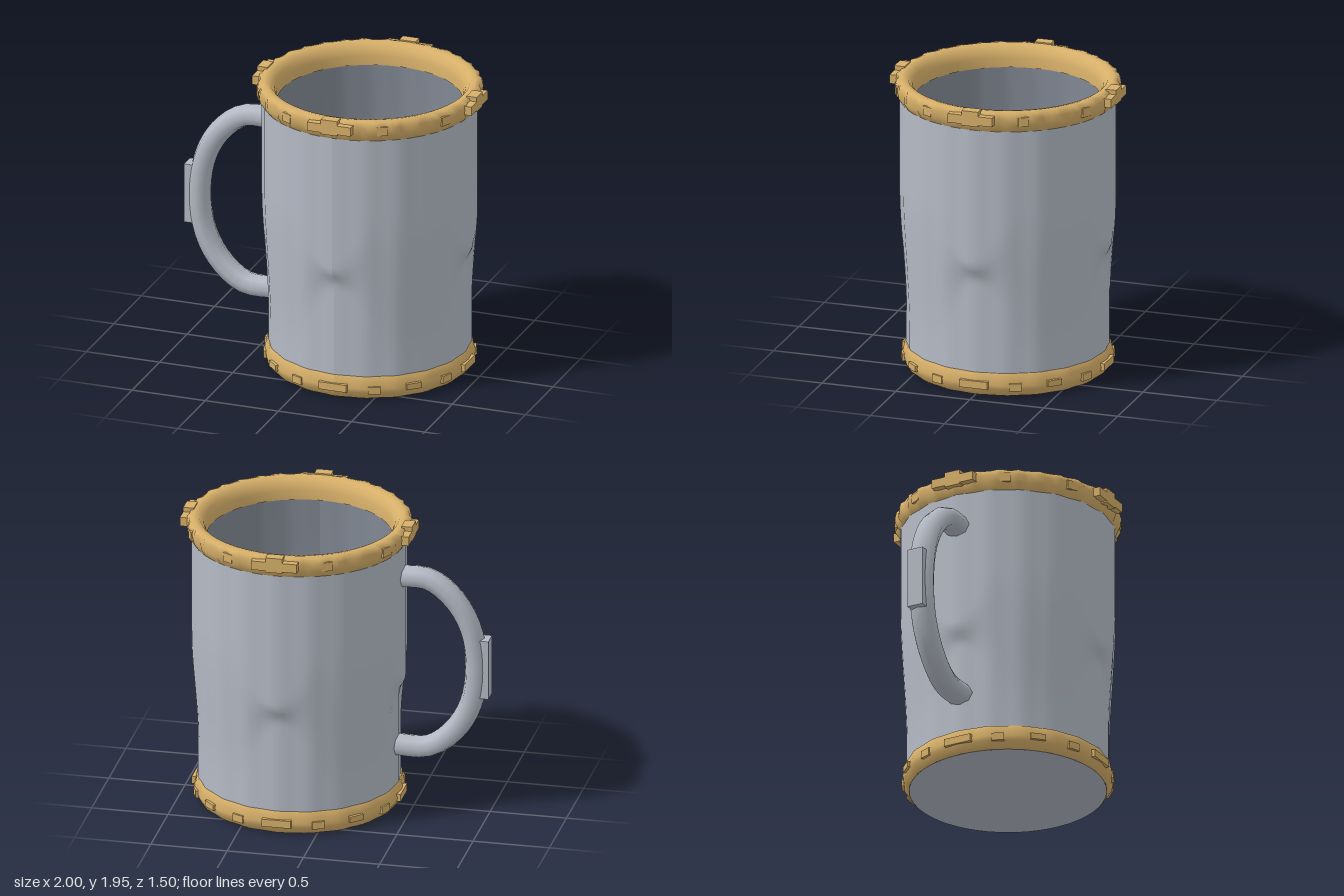
import * as THREE from 'three';

const CX = 0.25; // axis of the cup
const material = (name, color) => {
  const m = new THREE.MeshStandardMaterial({ color });
  m.name = name;
  return m;
};

// Lathe whose radius is changed by rule(angle, radius, y); angle 0 faces the front
function turned(points, segments, rule) {
  const g = new THREE.LatheGeometry(points.map(([r, y]) => new THREE.Vector2(r, y)), segments);
  const p = g.attributes.position;
  for (let i = 0; i < p.count; i++) {
    const x = p.getX(i), z = p.getZ(i), r = Math.hypot(x, z);
    const k = rule(Math.atan2(x, z), r, p.getY(i)) / r;
    p.setX(i, x * k);
    p.setZ(i, z * k);
  }
  g.computeVertexNormals();
  return g;
}

export function createModel() {
  const steel = material('steel grey', 0xb4bac5);
  const dark = material('dark grey', 0x818893);
  const brass = material('brass', 0xd6af69);
  const group = new THREE.Group();
  const cup = new THREE.Group();
  cup.name = 'cup';
  cup.position.x = CX;
  group.add(cup);

  const add = (parent, name, geometry, mat) => {
    const mesh = new THREE.Mesh(geometry, mat);
    mesh.name = name;
    parent.add(mesh);
    return mesh;
  };

  // Outer wall: a sharp shoulder at the four quarters that fades to a taper between them
  const wall = [];
  for (let i = 0; i <= 48; i++) wall.push([0.65, 0.14 + (1.68 * i) / 48]);
  add(cup, 'outerWall', turned(wall, 96, (a, r, y) => {
    const fade = (1 - Math.cos(4 * a)) / 2;
    const rise = 0.05 + 0.45 * Math.min(1, fade * 2);
    const step = 0.83 - 0.08 * fade;
    const flute = 0.004 * Math.cos(20 * a);
    return 0.648 + 0.041 * THREE.MathUtils.smoothstep(y, step - rise, step + rise) + flute;
  }), steel);

  // Inside wall, floor and underside
  add(cup, 'innerWall', turned([[0.6, 1.81], [0.6, 1.1], [0.58, 0.75], [0.56, 0.15]], 64,
    (a, r) => r + 0.005 * Math.cos(20 * a)), dark);
  const floor = add(cup, 'floor', new THREE.CircleGeometry(0.57, 64), dark);
  floor.rotation.x = -Math.PI / 2;
  floor.position.y = 0.15;
  const underside = add(cup, 'underside', new THREE.CircleGeometry(0.632, 64), steel);
  underside.rotation.x = Math.PI / 2;

  // Notched brass rim, lining the mouth as well, and the foot band
  const notch = (a, r) => r + (r > 0.695 ? 0.007 * Math.sign(Math.cos(32 * a)) : 0);
  add(cup, 'rim', turned([[0.675, 1.8], [0.692, 1.805], [0.715, 1.85], [0.718, 1.9], [0.71, 1.935],
    [0.675, 1.943], [0.64, 1.935], [0.612, 1.9], [0.598, 1.86], [0.594, 1.8]], 128, notch), brass);
  add(cup, 'footBand', turned([[0.63, 0], [0.645, 0.012], [0.668, 0.05], [0.674, 0.08],
    [0.664, 0.115], [0.657, 0.155], [0.64, 0.156]], 96, (a, r) => r + 0.004 * Math.cos(20 * a)), brass);

  // Raised tabs at the four quarters of the rim and around the foot
  const tab = (name, angle, radius, y, w, h, d) => {
    const mesh = add(cup, name, new THREE.BoxGeometry(w, h, d), brass);
    mesh.position.set(Math.sin(angle) * radius, y, Math.cos(angle) * radius);
    mesh.rotation.y = angle;
  };
  for (let i = 0; i < 4; i++) {
    const a = (i * Math.PI) / 2;
    tab('rimTab', a, 0.715, 1.89, 0.3, 0.06, 0.07);
    tab('rimTabTop', a, 0.715, 1.9, 0.11, 0.1, 0.07);
    tab('footTab', a, 0.66, 0.08, 0.19, 0.05, 0.05);
    for (const s of [-1, 1]) {
      tab('rimStud', a + s * 0.47, 0.705, 1.88, 0.07, 0.06, 0.04);
      tab('footStud', a + s * 0.4, 0.662, 0.07, 0.08, 0.05, 0.04);
    }
    tab('footStud', a + Math.PI / 4, 0.665, 0.08, 0.1, 0.04, 0.04);
  }

  // Handle: an angular loop, wider across than it is thick
  const half = [[-0.4, 1.585], [-0.6, 1.578], [-0.76, 1.46], [-0.87, 1.27]];
  const path = [...half, [-0.91, 1], ...half.map(([x, y]) => [x, 2 - y]).reverse()];
  path[path.length - 1][0] = -0.36;
  const curve = new THREE.CatmullRomCurve3(path.map(([x, y]) => new THREE.Vector3(x, y, 0)));
  const handle = new THREE.Group();
  handle.name = 'handle';
  group.add(handle);
  add(handle, 'handleLoop', new THREE.TubeGeometry(curve, 30, 0.073, 8), steel).scale.z = 1.2;
  add(handle, 'handleGrip', new THREE.BoxGeometry(0.1, 0.4, 0.11), steel).position.set(-0.95, 1, 0);

  return group;
}
